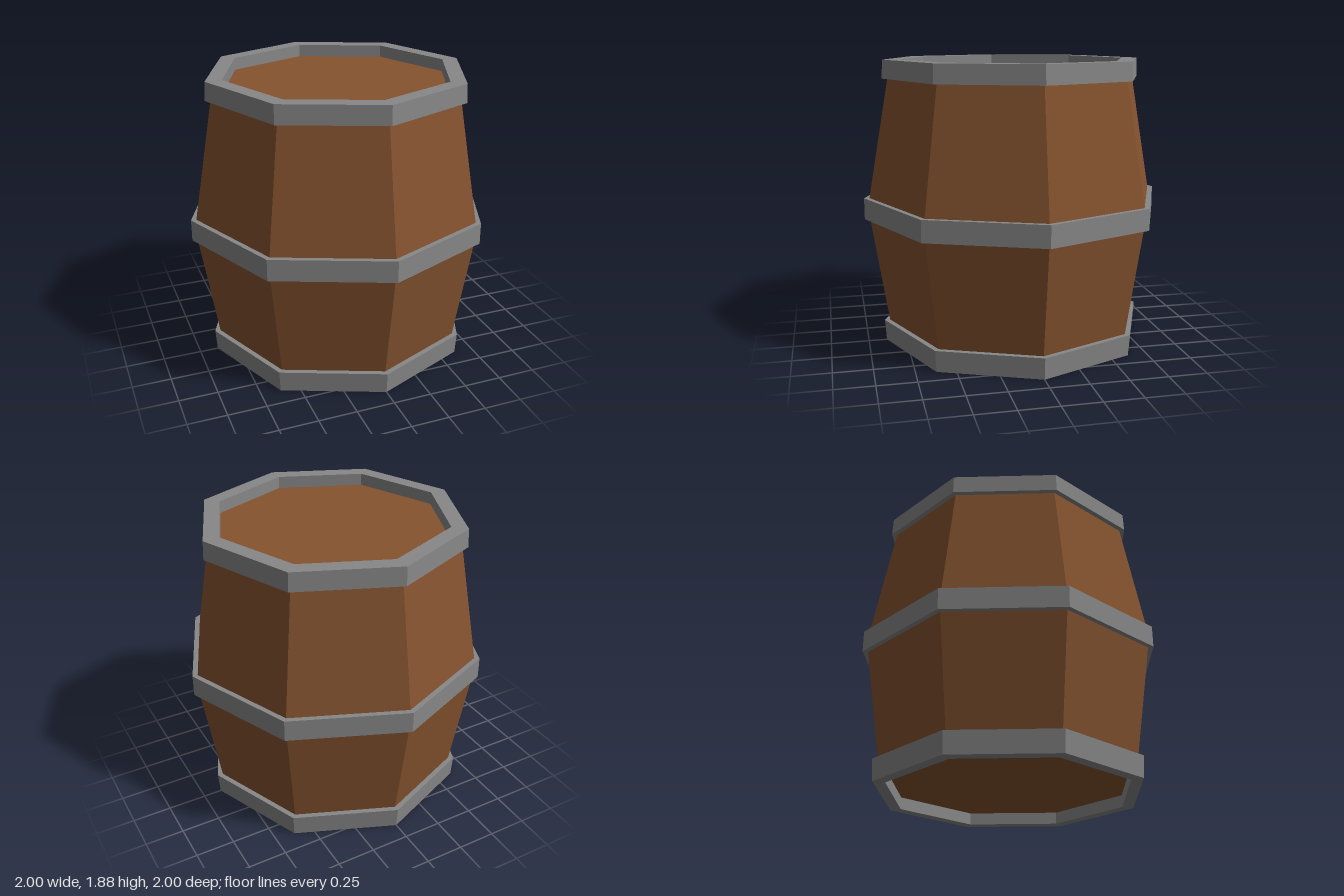
import * as THREE from 'three';

const SIDES = 8;
const wood = new THREE.MeshStandardMaterial({ color: 0x85532f, flatShading: true });
const metal = new THREE.MeshStandardMaterial({ color: 0x888888, flatShading: true });

// Octagonal turned part; the profile [radius, y] runs upwards on the outside
function turned(name, profile, material) {
  const points = profile.map(([r, y]) => new THREE.Vector2(r, y));
  const mesh = new THREE.Mesh(new THREE.LatheGeometry(points, SIDES), material);
  mesh.name = name;
  return mesh;
}

// Closed ring with its own outer radius at the bottom and top
function hoop(name, y0, y1, inner, outer0, outer1) {
  return turned(name, [[inner, y0], [outer0, y0], [outer1, y1], [inner, y1], [inner, y0]], metal);
}

export function createModel() {
  const barrel = new THREE.Group();
  barrel.name = 'barrel';

  // Bulging wooden body with base and lid recessed inside the end hoops
  barrel.add(turned('woodenBody', [
    [0, 0.08], [0.845, 0.08], [0.965, 0.845], [0.965, 0.985], [0.82, 1.8], [0, 1.8],
  ], wood));

  // Metal hoops
  barrel.add(hoop('bottomHoop', 0, 0.14, 0.8, 0.88, 0.89));
  barrel.add(hoop('middleHoop', 0.845, 0.985, 0.94, 1, 1));
  barrel.add(hoop('topHoop', 1.76, 1.88, 0.75, 0.862, 0.857));
  return barrel;
}
